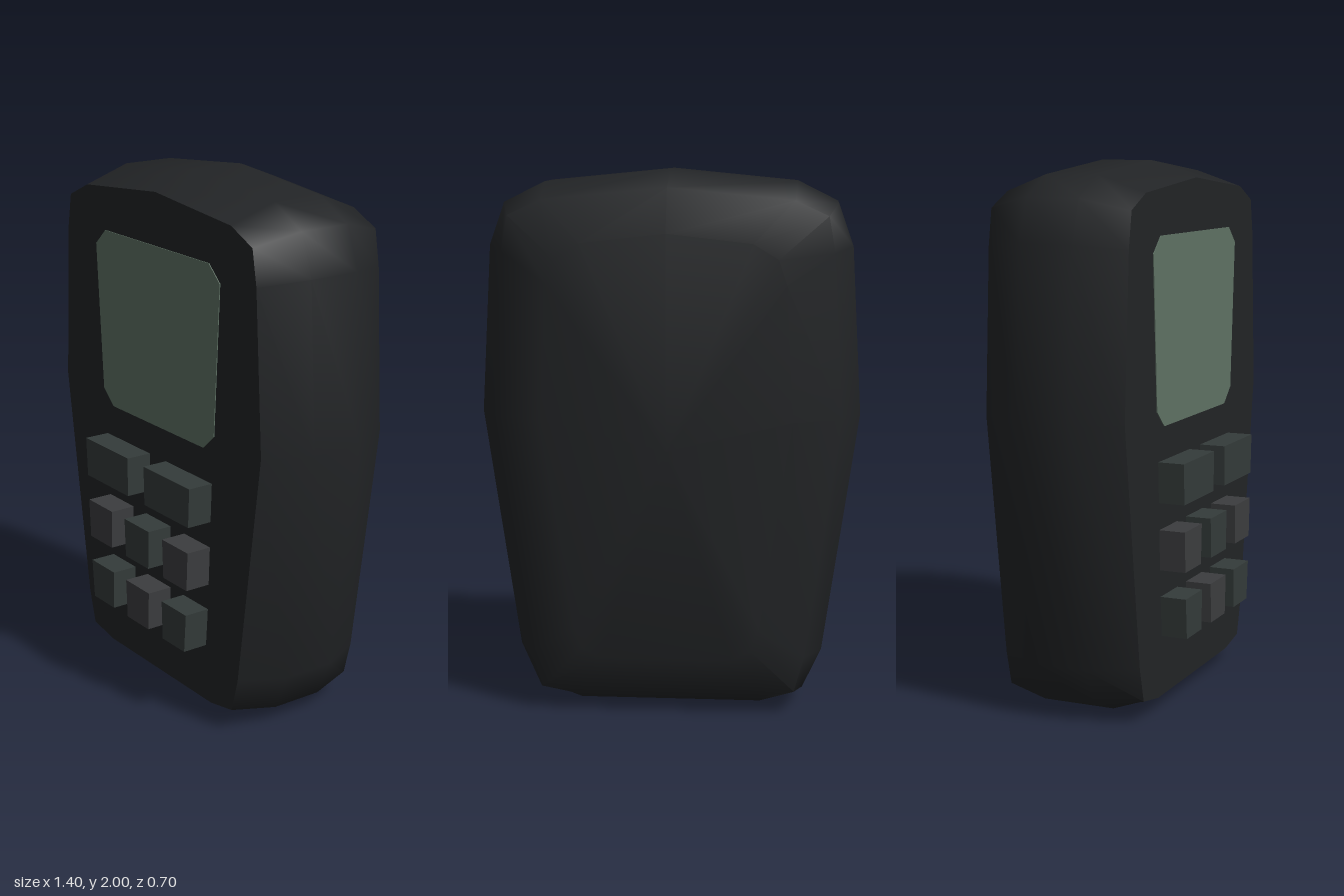
import * as THREE from 'three';
import { toCreasedNormals } from 'three/addons/utils/BufferGeometryUtils.js';

const material = (color) => new THREE.MeshStandardMaterial({ color });

// Right half of each case outline, from the bottom edge up to the top centre
const widest = [[0.34, 0], [0.5, 0.06], [0.57, 0.21], [0.7, 1.11], [0.665, 1.725], [0.61, 1.88], [0.46, 1.955], [0, 2]];
const rim = [[0.34, 0.065], [0.47, 0.09], [0.505, 0.22], [0.632, 1.115], [0.598, 1.71], [0.575, 1.84], [0.455, 1.895], [0, 1.938]];
const back = [[0.24, 0.225], [0.31, 0.26], [0.34, 0.34], [0.455, 1.11], [0.43, 1.6], [0.4, 1.69], [0.31, 1.745], [0, 1.78]];

const mirrored = (half) => [...half, ...half.slice(0, -1).reverse().map(([x, y]) => [-x, y])];

// Case: outlines stacked from front to back, with a fan closing each end
function caseGeometry() {
  const sections = [[rim, 0.25], [widest, 0.07], [widest, -0.13], [rim, -0.285], [back, -0.347]];
  const positions = [];
  const index = [];
  const n = widest.length * 2 - 1;
  for (const [half, z] of sections) {
    for (const [x, y] of mirrored(half)) positions.push(x, y, z);
  }
  const last = (sections.length - 1) * n;
  const frontCentre = sections.length * n;
  positions.push(0, 1, 0.25, 0, 1, -0.347);
  for (let i = 0; i < n; i++) {
    const j = (i + 1) % n;
    for (let k = 0; k < last; k += n) {
      index.push(k + i, k + n + i, k + j, k + j, k + n + i, k + n + j);
    }
    index.push(frontCentre, i, j, frontCentre + 1, last + j, last + i);
  }
  const geometry = new THREE.BufferGeometry();
  geometry.setAttribute('position', new THREE.Float32BufferAttribute(positions, 3));
  geometry.setIndex(index);
  return toCreasedNormals(geometry, 1.08);
}

// Flat panel or key extruded forward from a polygon
function plate(points, z, depth, mat, name) {
  const shape = new THREE.Shape(points.map(([x, y]) => new THREE.Vector2(x, y)));
  const mesh = new THREE.Mesh(new THREE.ExtrudeGeometry(shape, { depth, bevelEnabled: false }), mat);
  mesh.position.z = z;
  mesh.name = name;
  return mesh;
}

export function createModel() {
  const model = new THREE.Group();
  model.name = 'handheldDevice';

  const body = new THREE.Mesh(caseGeometry(), material(0x222426));
  body.name = 'case';
  model.add(body);

  // Screen with clipped corners, narrower at the bottom
  const screenHalf = [[0.295, 1.063], [0.36, 1.122], [0.395, 1.683], [0.33, 1.743]];
  const screenOutline = [...screenHalf, ...screenHalf.map(([x, y]) => [-x, y]).reverse()];
  model.add(plate(screenOutline, 0.245, 0.008, material(0x5f7264), 'screen'));

  // Keys: each row tapers towards the bottom of the case
  const green = material(0x343b3a);
  const grey = material(0x3c3d3f);
  const keys = new THREE.Group();
  keys.name = 'keypad';
  const addKey = (bottomY, [tl, tr, bl, br], mat, name) => {
    const top = bottomY + 0.15;
    keys.add(plate([[bl, bottomY], [br, bottomY], [tr, top], [tl, top]], 0.24, 0.109, mat, name));
  };
  const rows = [
    { y: 0.79, outer: [0.053, 0.345, 0.056, 0.337], outerMat: green },
    { y: 0.54, outer: [0.17, 0.333, 0.176, 0.325], outerMat: grey, middle: [0.082, 0.076], middleMat: green },
    { y: 0.29, outer: [0.163, 0.32, 0.168, 0.308], outerMat: green, middle: [0.078, 0.071], middleMat: grey },
  ];
  rows.forEach(({ y, outer, outerMat, middle, middleMat }, r) => {
    const [a, b, c, d] = outer;
    addKey(y, outer, outerMat, `leftKey${r + 1}`);
    addKey(y, [-b, -a, -d, -c], outerMat, `rightKey${r + 1}`);
    if (middle) addKey(y, [-middle[0], middle[0], -middle[1], middle[1]], middleMat, `middleKey${r + 1}`);
  });
  model.add(keys);

  return model;
}
